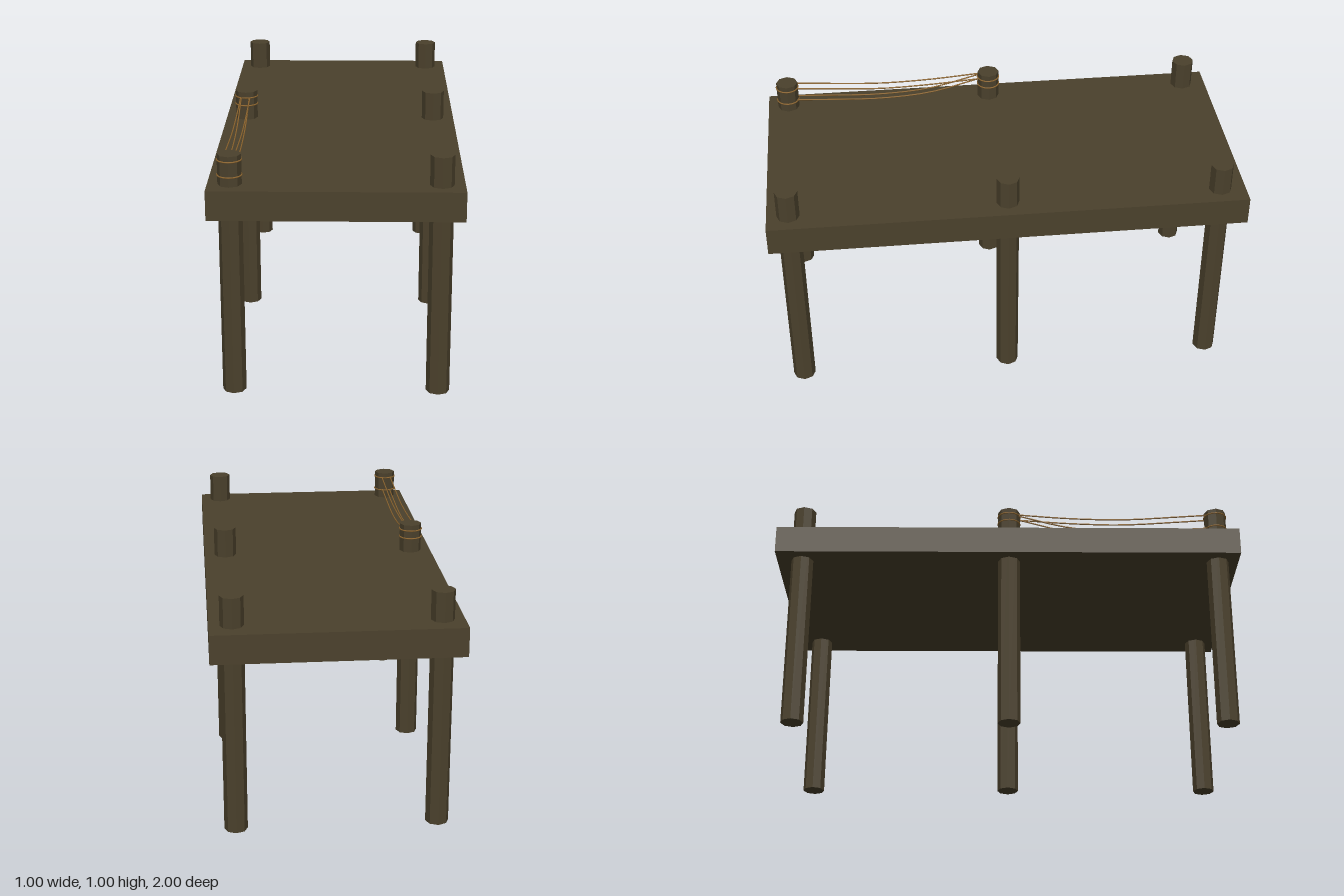
import * as THREE from 'three';

const wood = new THREE.MeshStandardMaterial({ color: 0x4b412c, flatShading: true });
wood.name = 'dark wood';
const hemp = new THREE.MeshStandardMaterial({ color: 0x8f6730 });
hemp.name = 'rope';

const POST_R = 0.0475;
const ROPE_R = 0.003;
const RIGHT_X = -0.412;
const LEFT_X = 0.409;
const FRONT_Z = 0.91;
const MID_Z = 0.004;
const BACK_Z = -0.892;

export function createModel() {
  const model = new THREE.Group();
  model.name = 'dock';

  const add = (name, geometry, material, x = 0, y = 0, z = 0) => {
    const mesh = new THREE.Mesh(geometry, material);
    mesh.name = name;
    mesh.position.set(x, y, z);
    model.add(mesh);
    return mesh;
  };

  // Deck slab
  add('deck', new THREE.BoxGeometry(1, 0.12, 2), wood, 0, 0.817, 0);

  // Six posts running through the deck
  const postGeometry = new THREE.CylinderGeometry(POST_R, POST_R, 1, 8);
  for (const x of [RIGHT_X, LEFT_X]) {
    for (const z of [FRONT_Z, MID_Z, BACK_Z]) add('post', postGeometry, wood, x, 0.5, z);
  }

  // Rope loops tied around two posts
  const loopGeometry = new THREE.TorusGeometry(POST_R + 0.001, ROPE_R, 6, 16).rotateX(Math.PI / 2);
  for (const [y, z] of [[0.978, FRONT_Z], [0.916, FRONT_Z], [0.976, MID_Z], [0.941, MID_Z]]) {
    add('ropeLoop', loopGeometry, hemp, RIGHT_X, y, z);
  }

  // Sagging strands between the two posts: x offset and heights from front to middle
  const stations = [0.868, 0.73, 0.5, 0.27, 0.046];
  const strands = [
    [-0.023, [0.980, 0.970, 0.956, 0.961, 0.978]],
    [0.017, [0.977, 0.967, 0.953, 0.959, 0.975]],
    [-0.021, [0.916, 0.908, 0.899, 0.916, 0.974]],
    [0.014, [0.916, 0.908, 0.899, 0.916, 0.974]],
  ];
  for (const [dx, heights] of strands) {
    const points = heights.map((y, i) => new THREE.Vector3(RIGHT_X + dx, y, stations[i]));
    const curve = new THREE.CatmullRomCurve3(points);
    add('ropeStrand', new THREE.TubeGeometry(curve, 12, ROPE_R, 6), hemp);
  }

  return model;
}
